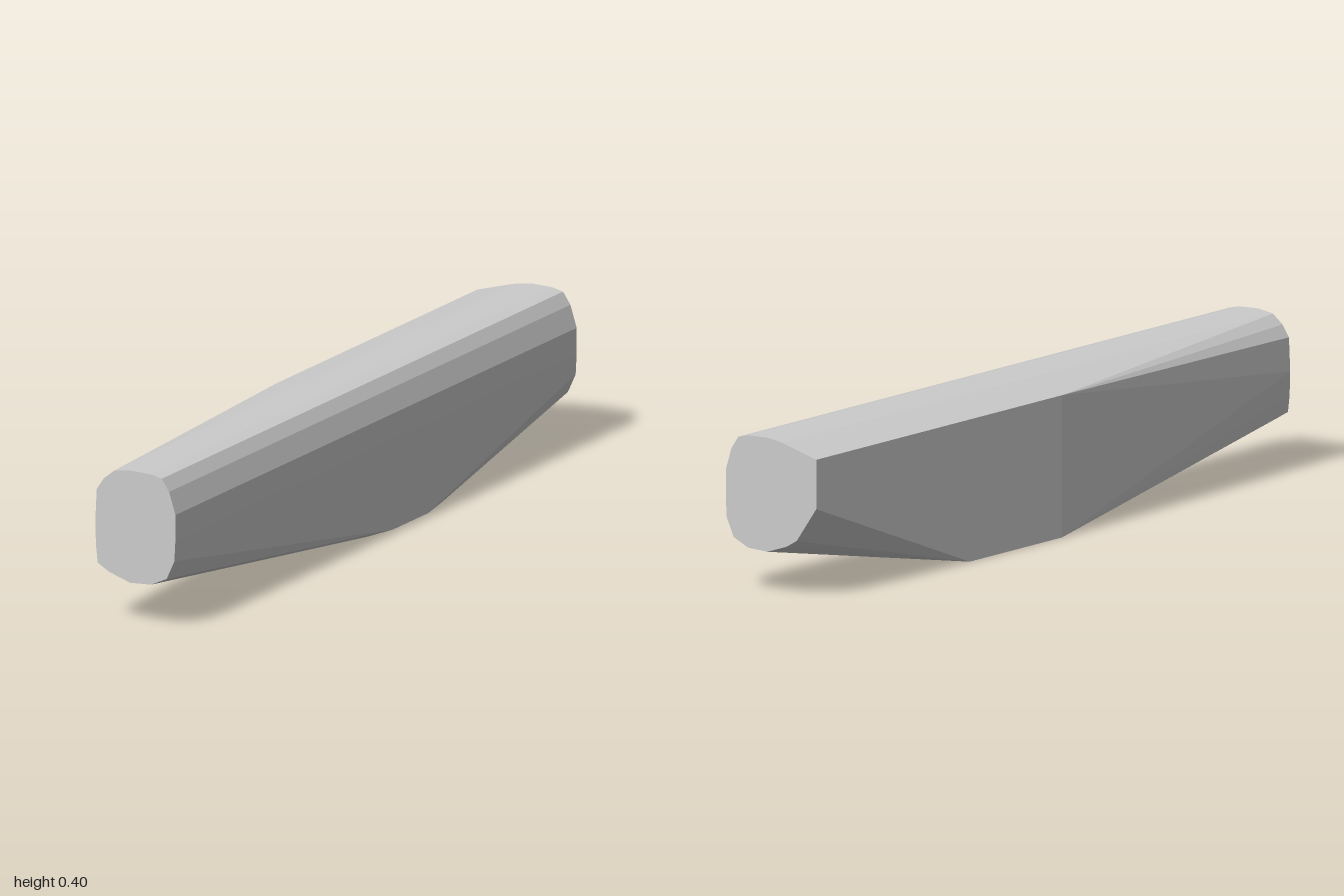
import * as THREE from 'three';
import { ConvexGeometry } from 'three/addons/geometries/ConvexGeometry.js';

export function createModel() {
  const group = new THREE.Group();

  // Rounded outline shared by both ends, as [x, y]
  const shared = [
    [-0.035, 0.39], [0.01, 0.397], [0.07, 0.395], [0.101, 0.388], [0.122, 0.357],
    [0.14, 0.3], [0.14, 0.235], [0.137, 0.18], [0.115, 0.132], [0.07, 0.111],
    [0.01, 0.108], [-0.05, 0.128], [-0.082, 0.147],
  ];
  // Each end closes differently on the -x side: rounded in front, squared behind
  const frontSide = [[-0.087, 0.19], [-0.089, 0.25], [-0.085, 0.336], [-0.065, 0.366]];
  const backSide = [[-0.143, 0.235], [-0.143, 0.36]];

  const atZ = (outline, z) => outline.map(([x, y]) => new THREE.Vector3(x, y, z));

  // Flat base, as [x, z] at y = 0
  const base = [
    [-0.143, 0], [0.115, 0], [0.137, -0.09], [0.137, -0.265], [0.115, -0.375], [-0.143, -0.375],
  ].map(([x, z]) => new THREE.Vector3(x, 0, z));

  // Where the flat -x side ends and the front taper begins
  const shoulder = atZ([[-0.143, 0.36], [-0.143, 0.34]], 0);

  // The body is the convex skin over the two ends, base and shoulder
  const geometry = new ConvexGeometry([
    ...atZ([...shared, ...frontSide], 1),
    ...atZ([...shared, ...backSide], -1),
    ...base,
    ...shoulder,
  ]);
  const body = new THREE.Mesh(
    geometry,
    new THREE.MeshStandardMaterial({ color: 0xcccccc, flatShading: true })
  );
  body.name = 'body';
  group.add(body);
  return group;
}
